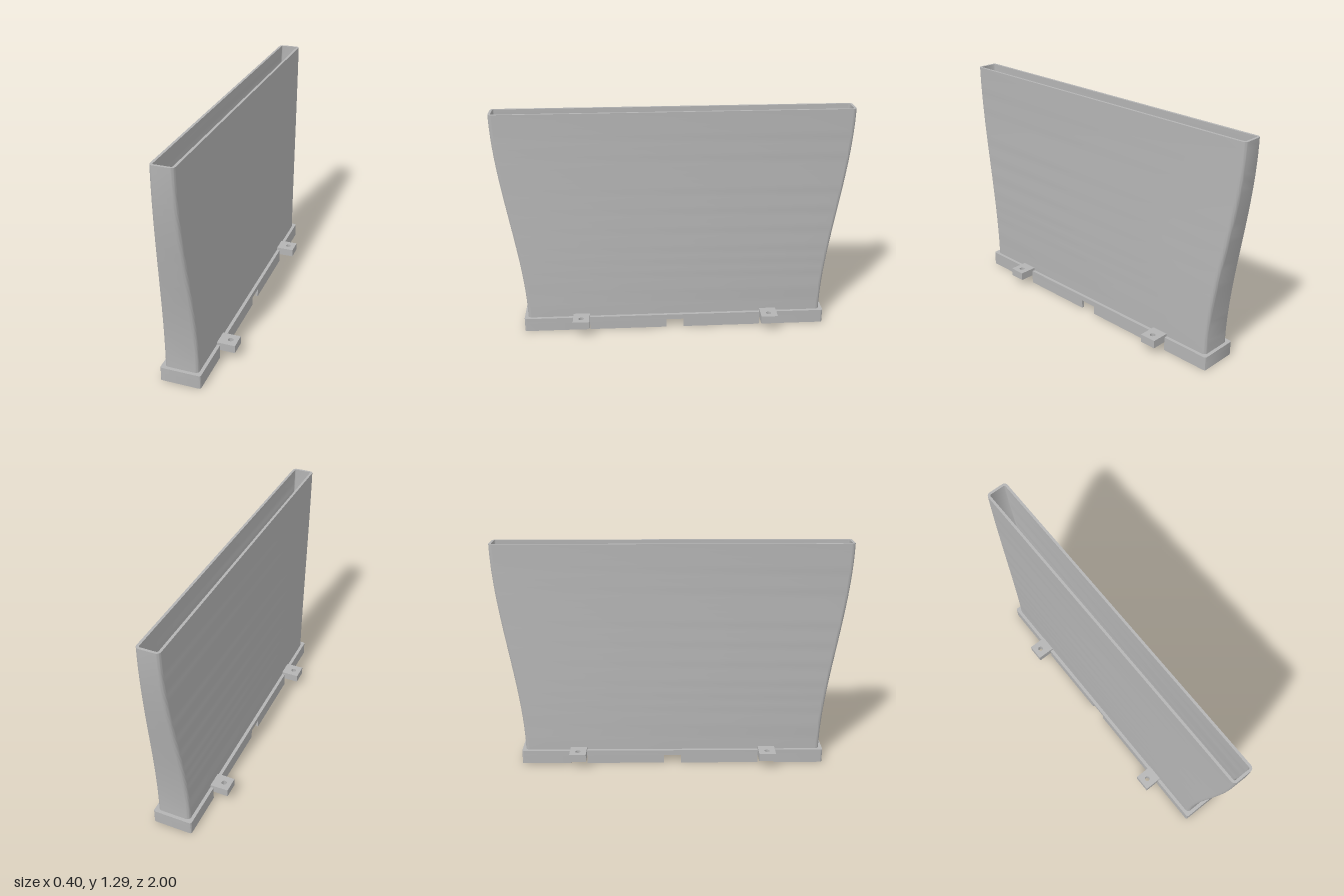
import * as THREE from 'three';
import { toCreasedNormals } from 'three/addons/utils/BufferGeometryUtils.js';

const H = 1.295, LEDGE = 0.05, COLLAR_TOP = 0.08, WALL = 0.014;

// Points of a rounded rectangle centred on the origin
function roundedRect(hx, hz, r, steps = 6) {
  const pts = [];
  [[1, 1], [-1, 1], [-1, -1], [1, -1]].forEach(([sx, sz], q) => {
    for (let k = 0; k <= steps; k++) {
      const a = (q + k / steps) * Math.PI / 2;
      pts.push(new THREE.Vector2(sx * (hx - r) + r * Math.cos(a), sz * (hz - r) + r * Math.sin(a)));
    }
  });
  return pts;
}

// Extrude a plan-view shape upwards from y0 to y1
function slab(shape, y0, y1) {
  const g = new THREE.ExtrudeGeometry(shape, { depth: y1 - y0, bevelEnabled: false, curveSegments: 16 });
  g.rotateX(-Math.PI / 2).translate(0, y0, 0);
  return toCreasedNormals(g, 0.6);
}

// Hollow duct: sections run up the outside, over the rim and down the inside
function ductGeometry() {
  const rows = 32, sections = [];
  const section = (t, inset) => {
    const y = LEDGE + t * (H - LEDGE);
    const s = THREE.MathUtils.smoothstep(y, COLLAR_TOP, H);
    const hx = 0.095 - 0.032 * s - inset, hz = 0.86 + 0.14 * s - inset;
    return roundedRect(hx, hz, 0.022 - inset).map(p => [p.x, y, p.y]);
  };
  for (let j = 0; j <= rows; j++) sections.push(section(j / rows, 0));
  for (let j = rows; j >= 0; j--) sections.push(section(j / rows, WALL));
  const n = sections[0].length, m = sections.length, index = [];
  for (let j = 0; j < m; j++) {
    for (let i = 0; i < n; i++) {
      const i2 = (i + 1) % n, j2 = (j + 1) % m;
      const a = j * n + i, b = j2 * n + i, c = j2 * n + i2, d = j * n + i2;
      index.push(a, b, c, a, c, d);
    }
  }
  const g = new THREE.BufferGeometry();
  g.setAttribute('position', new THREE.Float32BufferAttribute(sections.flat(2), 3));
  g.setIndex(index);
  return toCreasedNormals(g, 0.7);
}

export function createModel() {
  const model = new THREE.Group();
  model.name = 'flaredDuct';
  const grey = new THREE.MeshStandardMaterial({ color: 0xb4b4b4 });
  grey.name = 'plainGrey';
  const add = (name, geometry) => {
    const mesh = new THREE.Mesh(geometry, grey);
    mesh.name = name;
    model.add(mesh);
    return mesh;
  };

  add('ductShell', ductGeometry());

  // Flange joining the collar to the duct
  const hx = 0.114, hz = 0.88, r = 0.012, wall = 0.015;
  const flange = new THREE.Shape(roundedRect(hx, hz, r));
  flange.holes.push(new THREE.Path(roundedRect(0.095, 0.86, 0.022)));
  add('collarFlange', slab(flange, LEDGE, COLLAR_TOP));

  // Collar skirt: U-shaped ends, with straight bars between the notches
  const tabIn = 0.5, tabOut = 0.596;
  const end = new THREE.Shape();
  end.moveTo(hx, tabOut);
  end.lineTo(hx, hz - r);
  end.absarc(hx - r, hz - r, r, 0, Math.PI / 2, false);
  end.lineTo(-hx + r, hz);
  end.absarc(-hx + r, hz - r, r, Math.PI / 2, Math.PI, false);
  end.lineTo(-hx, tabOut);
  end.lineTo(-hx + wall, tabOut);
  end.lineTo(-hx + wall, hz - wall);
  end.lineTo(hx - wall, hz - wall);
  end.lineTo(hx - wall, tabOut);
  for (const turn of [0, Math.PI]) add('skirtEnd', slab(end, 0, LEDGE)).rotation.y = turn;

  const barLength = tabIn - 0.05;
  for (const sx of [-1, 1]) {
    for (const sz of [-1, 1]) {
      const bar = add('skirtBar', new THREE.BoxGeometry(wall, LEDGE, barLength));
      bar.position.set(sx * (hx - wall / 2), LEDGE / 2, sz * (0.05 + barLength / 2));

      // Mounting tab with a screw hole
      const tab = new THREE.Shape();
      const x0 = 0.096, x1 = 0.2, z0 = tabIn, z1 = tabOut;
      tab.moveTo(x0, z0);
      tab.lineTo(x1, z0);
      tab.lineTo(x1, z1);
      tab.lineTo(x0, z1);
      tab.closePath();
      const hole = new THREE.Path();
      hole.absarc(0.158, (z0 + z1) / 2, 0.015, 0, Math.PI * 2, true);
      tab.holes.push(hole);
      const mesh = add('mountingTab', slab(tab, LEDGE, 0.096));
      // The tab is drawn at +x, -z; turn it for +x, or slide it across for the other corners
      mesh.rotation.y = sx > 0 ? 0 : Math.PI;
      const drawnZ = sx > 0 ? -1 : 1;
      mesh.position.z = sz === drawnZ ? 0 : sz * (z0 + z1);
    }
  }
  return model;
}
